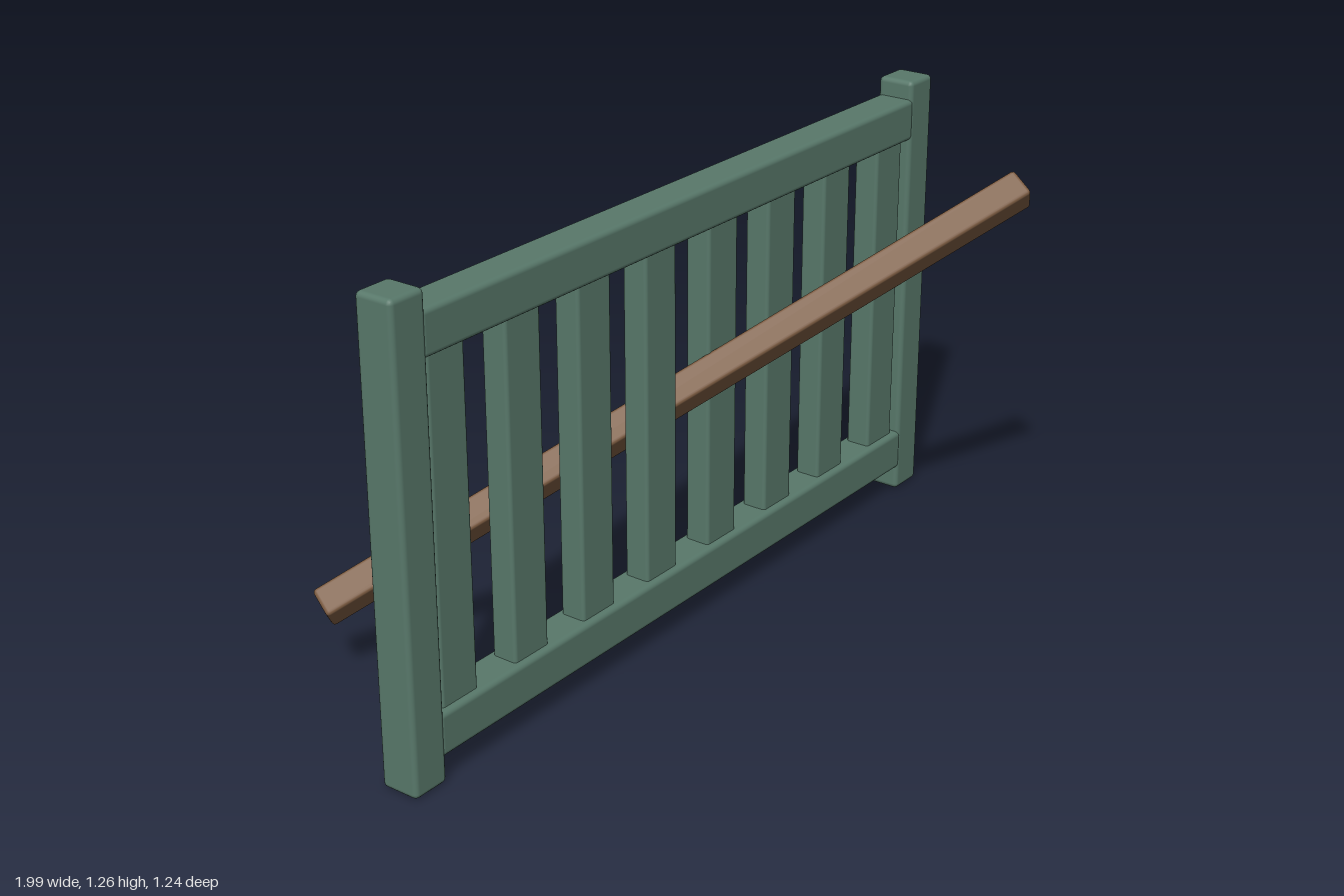
import * as THREE from 'three';
import { RoundedBoxGeometry } from 'three/addons/geometries/RoundedBoxGeometry.js';

const rad = THREE.MathUtils.degToRad;

function board(name, size, pos, material, radius = 0.014) {
  const mesh = new THREE.Mesh(new RoundedBoxGeometry(...size, 2, radius), material);
  mesh.name = name;
  mesh.position.set(...pos);
  return mesh;
}

export function createModel() {
  const green = new THREE.MeshStandardMaterial({ color: 0x58786a });
  green.name = 'painted green wood';
  const brown = new THREE.MeshStandardMaterial({ color: 0x7a5a40 });
  brown.name = 'brown wood';

  const model = new THREE.Group();
  model.name = 'gate with bar';

  // Gate panel, swung about the vertical axis
  const gate = new THREE.Group();
  gate.name = 'gate';
  gate.rotation.y = rad(31.5);
  model.add(gate);

  // End posts
  for (const s of [-1, 1]) {
    gate.add(board(s < 0 ? 'rightPost' : 'leftPost', [0.11, 1.26, 0.11], [s * 1.055, 0.63, 0], green));
  }

  // Top and bottom rails, let slightly into the posts
  gate.add(board('bottomRail', [2.03, 0.118, 0.11], [0, 0.129, 0], green));
  gate.add(board('topRail', [2.03, 0.118, 0.11], [0, 1.149, 0], green));

  // Upright slats
  for (let i = 0; i < 8; i++) {
    gate.add(board(`slat${i + 1}`, [0.127, 1.0, 0.074], [(i - 3.5) * 0.264, 0.639, 0], green, 0.01));
  }

  // Slanted bar passing through the gate, rolled about its own length
  const bar = board('diagonalBar', [2.14, 0.083, 0.083], [0, 0.648, 0], brown, 0.01);
  bar.rotation.set(rad(35), 0, rad(24.2), 'ZXY');
  model.add(bar);

  return model;
}
